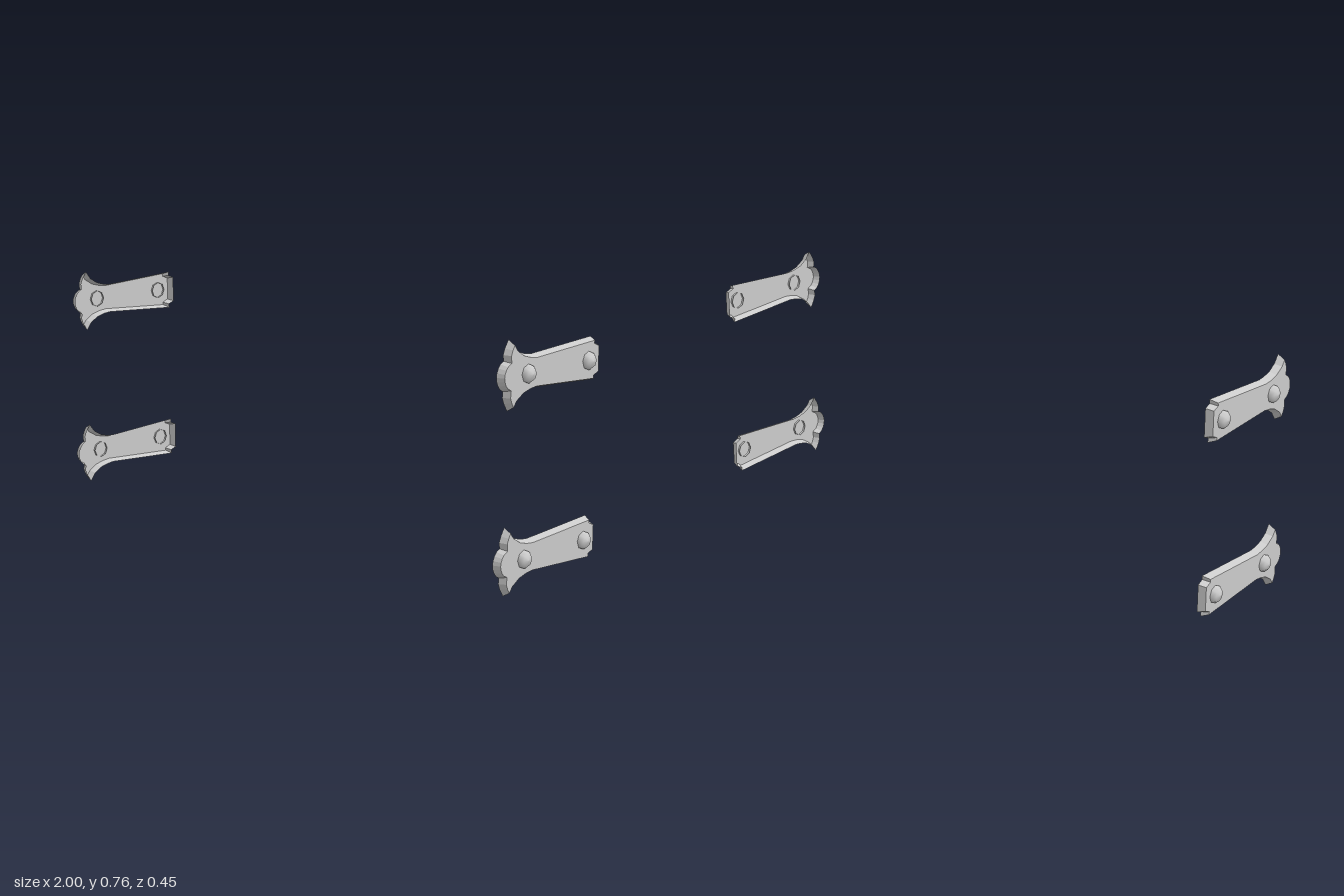
import * as THREE from 'three';

const BACK = 0.956, FRONT = 0.98, BEVEL = 0.008;

// Upper half of the plate outline as [-z, height], from the square end to the rounded nose
const half = [
  [0.226, 0.044], [0.204, 0.053], [0.206, 0.066], [-0.073, 0.05], [-0.1, 0.053],
  [-0.13, 0.061], [-0.158, 0.078], [-0.178, 0.104], [-0.193, 0.08], [-0.2, 0.062],
  [-0.198, 0.044], [-0.211, 0.037], [-0.22, 0.026], [-0.226, 0.013],
];

function outline() {
  const upper = half.map(([a, h]) => new THREE.Vector2(a, h));
  const lower = half.map(([a, h]) => new THREE.Vector2(a, -h)).reverse();
  return [...upper, new THREE.Vector2(-0.228, 0), ...lower];
}

// Mitred inward offset of a counter-clockwise loop
function inset(points, d) {
  const n = points.length;
  return points.map((p, i) => {
    const e1 = p.clone().sub(points[(i + n - 1) % n]).normalize();
    const e2 = points[(i + 1) % n].clone().sub(p).normalize();
    const n1 = new THREE.Vector2(-e1.y, e1.x), n2 = new THREE.Vector2(-e2.y, e2.x);
    const k = d / Math.max(1 + n1.dot(n2), 0.4);
    return p.clone().addScaledVector(n1.add(n2), k);
  });
}

// Open-backed plate: flat outer face plus sloping rim
function plateGeometry() {
  const outer = outline(), inner = inset(outer, BEVEL), n = outer.length;
  const pos = [];
  const put = (p, x) => pos.push(x, p.y, -p.x);
  for (const tri of THREE.ShapeUtils.triangulateShape(inner, [])) {
    for (const i of tri) put(inner[i], FRONT);
  }
  for (let i = 0; i < n; i++) {
    const j = (i + 1) % n;
    put(outer[i], BACK); put(outer[j], BACK); put(inner[j], FRONT);
    put(outer[i], BACK); put(inner[j], FRONT); put(inner[i], FRONT);
  }
  const g = new THREE.BufferGeometry();
  g.setAttribute('position', new THREE.Float32BufferAttribute(pos, 3));
  g.computeVertexNormals();
  return g;
}

// Eight-sided domed rivet, open at the back, axis along x
function rivetGeometry() {
  const profile = [[0.028, 0.973], [0.028, 0.984], [0.019, 0.996], [0, 1]];
  const g = new THREE.LatheGeometry(profile.map(([r, y]) => new THREE.Vector2(r, y)), 8);
  return g.rotateZ(-Math.PI / 2);
}

export function createModel() {
  const model = new THREE.Group();
  model.name = 'bracketSet';
  const material = new THREE.MeshStandardMaterial({ color: 0xcccccc, side: THREE.DoubleSide });
  const plate = plateGeometry(), rivet = rivetGeometry();

  for (const side of ['left', 'right']) {
    for (const [level, y] of [['Lower', 0.104], ['Upper', 0.655]]) {
      const bracket = new THREE.Group();
      bracket.name = `${side}${level}Bracket`;
      const plateMesh = new THREE.Mesh(plate, material);
      plateMesh.name = 'plate';
      bracket.add(plateMesh);
      for (const [name, z] of [['frontRivet', 0.115], ['backRivet', -0.168]]) {
        const mesh = new THREE.Mesh(rivet, material);
        mesh.name = name;
        mesh.position.z = z;
        bracket.add(mesh);
      }
      bracket.position.y = y;
      // The bracket is symmetric in height, so a half turn mirrors it
      if (side === 'right') bracket.rotation.z = Math.PI;
      model.add(bracket);
    }
  }
  return model;
}
